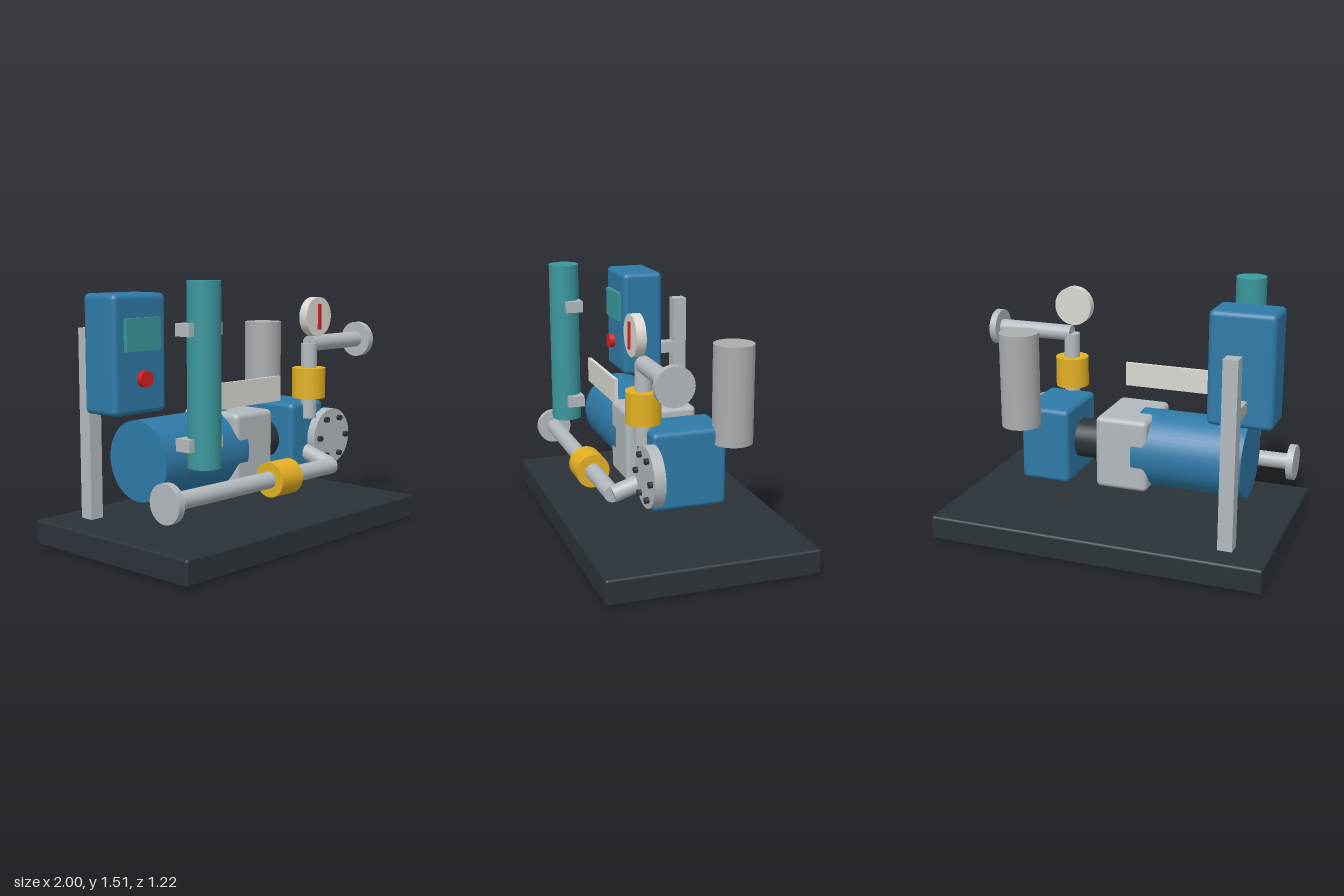
import * as THREE from 'three';
import { RoundedBoxGeometry } from 'three/addons/geometries/RoundedBoxGeometry.js';

const paint = (color) => new THREE.MeshStandardMaterial({ color });
const BLUE = paint(0x2f7aa8), DARK = paint(0x2b3338), STEEL = paint(0xb2b9bd), TEAL = paint(0x3a979c);
const YELLOW = paint(0xe2b022), RED = paint(0xd32020), PALE = paint(0xdad7d0), SILENCER = paint(0xa9adaf);

export function createModel() {
  const model = new THREE.Group();
  model.name = 'pumpSkid';

  const add = (name, geometry, material) => {
    const mesh = new THREE.Mesh(geometry, material);
    mesh.name = name;
    model.add(mesh);
    return mesh;
  };

  // Box from its [min, max] extents; a radius rounds its edges
  const box = (name, material, [x0, x1], [y0, y1], [z0, z1], radius = 0) => {
    const size = [x1 - x0, y1 - y0, z1 - z0];
    const geometry = radius ? new RoundedBoxGeometry(...size, 3, radius) : new THREE.BoxGeometry(...size);
    const mesh = add(name, geometry, material);
    mesh.position.set((x0 + x1) / 2, (y0 + y1) / 2, (z0 + z1) / 2);
    return mesh;
  };

  // Round bar between two points
  const rod = (name, material, radius, from, to, sides = 40) => {
    const a = new THREE.Vector3(...from), b = new THREE.Vector3(...to);
    const axis = b.clone().sub(a);
    const mesh = add(name, new THREE.CylinderGeometry(radius, radius, axis.length(), sides), material);
    mesh.position.copy(a).add(b).multiplyScalar(0.5);
    mesh.quaternion.setFromUnitVectors(new THREE.Vector3(0, 1, 0), axis.normalize());
    return mesh;
  };

  // Base slab with four feet set into its underside
  box('base', DARK, [-1, 1], [0, 0.147], [-0.61, 0.61], 0.015);
  for (const x of [-0.8, 0.8]) {
    for (const z of [-0.43, 0.43]) {
      box('foot', STEEL, [x - 0.08, x + 0.08], [-0.001, 0.03], [z - 0.08, z + 0.08]);
    }
  }

  // Drive train along x
  const axisY = 0.53;
  rod('motor', BLUE, 0.225, [-0.765, axisY, 0], [-0.11, axisY, 0], 56);
  box('gearbox', STEEL, [-0.205, 0.11], [0.315, 0.747], [-0.215, 0.215], 0.03);
  rod('coupling', DARK, 0.117, [0.09, axisY, 0], [0.3, axisY, 0]);
  box('pumpBody', BLUE, [0.282, 0.585], [0.305, 0.757], [-0.216, 0.216], 0.03);

  // Bolted pump head
  const headX = 0.605;
  rod('pumpHead', STEEL, 0.172, [headX, axisY, 0.205], [headX, axisY, 0.27], 48);
  for (let i = 0; i < 6; i++) {
    const angle = i * Math.PI / 3;
    const x = headX + 0.127 * Math.cos(angle), y = axisY + 0.127 * Math.sin(angle);
    rod('headBolt', DARK, 0.017, [x, y, 0.26], [x, y, 0.292], 16);
  }

  // Suction line
  const pipeR = 0.048, flangeR = 0.108, riserX = 0.435;
  rod('suctionPipe', STEEL, pipeR, [-0.93, 0.387, 0.4], [riserX, 0.387, 0.4]);
  rod('suctionFlange', STEEL, flangeR, [-0.952, 0.387, 0.4], [-0.91, 0.387, 0.4]);
  rod('suctionValve', YELLOW, 0.1, [-0.137, 0.387, 0.4], [0.04, 0.387, 0.4]);
  rod('suctionElbow', STEEL, pipeR, [riserX, 0.387, 0.4], [riserX, 0.45, 0.2]);

  // Discharge line
  rod('dischargeRiser', STEEL, pipeR, [riserX, 0.66, 0.22], [riserX, 1.112, 0.22]);
  rod('dischargeValve', YELLOW, 0.1, [riserX, 0.785, 0.22], [riserX, 0.967, 0.22]);
  rod('dischargePipe', STEEL, pipeR, [riserX, 1.112, 0.22], [0.93, 1.112, 0.22]);
  rod('dischargeFlange', STEEL, flangeR, [0.903, 1.112, 0.22], [0.945, 1.112, 0.22]);

  // Pressure gauge and pulsation damper
  rod('gauge', PALE, 0.117, [riserX, 1.275, 0.238], [riserX, 1.275, 0.293], 48);
  box('gaugeNeedle', RED, [0.425, 0.445], [1.2, 1.35], [0.285, 0.305]);
  rod('pulsationDamper', SILENCER, 0.115, [0.56, 0.66, -0.257], [0.56, 1.22, -0.257], 48);

  // Calibration column with clamps
  rod('calibrationColumn', TEAL, 0.09, [-0.64, 0.53, 0.382], [-0.64, 1.51, 0.382], 48);
  for (const y of [0.657, 1.258]) {
    box('columnClamp', STEEL, [-0.765, -0.515], [y - 0.034, y + 0.034], [0.295, 0.398]);
  }

  // Control cabinet on its post
  box('controlCabinet', BLUE, [-0.937, -0.56], [0.788, 1.438], [-0.235, 0.018], 0.03);
  box('controlScreen', TEAL, [-0.87, -0.625], [1.132, 1.31], [0.015, 0.042]);
  rod('stopButton', RED, 0.045, [-0.75, 0.983, 0.034], [-0.75, 0.983, 0.068], 24);
  box('cabinetPost', STEEL, [-0.792, -0.707], [0.14, 1.237], [-0.452, -0.367]);
  box('cabinetBracket', STEEL, [-0.792, -0.707], [0.88, 0.95], [-0.37, -0.22]);

  // Blank nameplate
  box('nameplate', PALE, [-0.467, 0.097], [0.803, 0.947], [0.26, 0.282]);

  return model;
}
